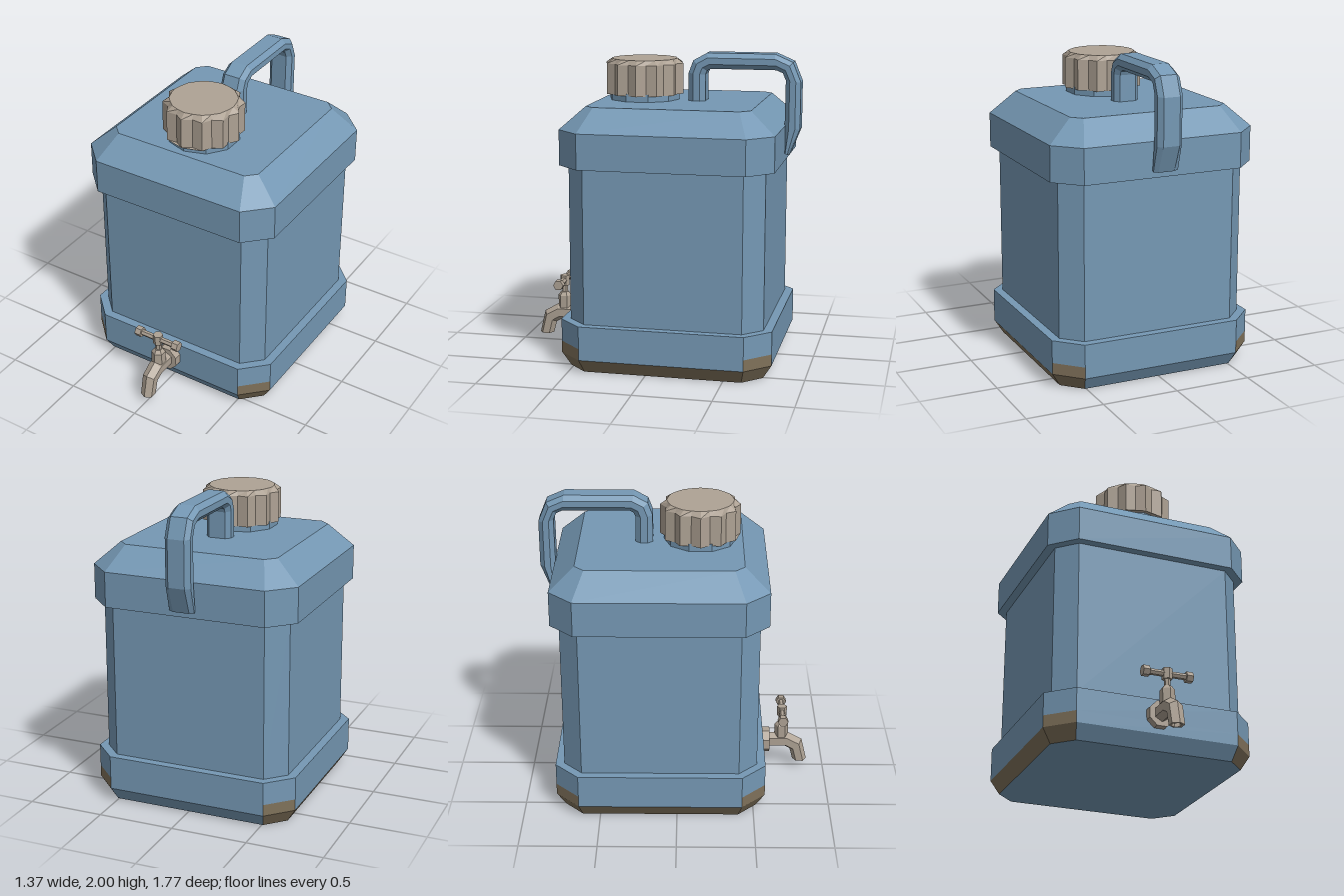
import * as THREE from 'three';

const mat = (name, color) => {
  const m = new THREE.MeshStandardMaterial({ color, flatShading: true });
  m.name = name;
  return m;
};

// Flat-faced skin over rings that run counter-clockwise around the direction of travel.
// pick(i, j) gives the material index of side face j between rings i and i + 1.
function skin(rings, pick = () => 0) {
  const lists = [[], []];
  const tri = (m, ...pts) => pts.forEach(p => lists[m].push(...p));
  const n = rings[0].length;
  for (let i = 0; i < rings.length - 1; i++) {
    for (let j = 0; j < n; j++) {
      const k = (j + 1) % n, [lo, hi] = [rings[i], rings[i + 1]];
      const m = pick(i, j);
      tri(m, lo[j], lo[k], hi[k]);
      tri(m, lo[j], hi[k], hi[j]);
    }
  }
  const first = rings[0], last = rings[rings.length - 1];
  for (let j = 1; j < n - 1; j++) {
    tri(0, first[0], first[j + 1], first[j]);
    tri(0, last[0], last[j], last[j + 1]);
  }
  const geo = new THREE.BufferGeometry();
  geo.setAttribute('position', new THREE.Float32BufferAttribute([...lists[0], ...lists[1]], 3));
  geo.addGroup(0, lists[0].length / 3, 0);
  if (lists[1].length) geo.addGroup(lists[0].length / 3, lists[1].length / 3, 1);
  geo.computeVertexNormals();
  return geo;
}

// Rectangle with cut corners at height y, centred on the body axis
const BODY_Z = -0.108;
function cutRect([y, w, c]) {
  const a = w - c;
  return [[a, w], [w, a], [w, -a], [a, -w], [-a, -w], [-w, -a], [-w, a], [-a, w]]
    .map(([x, z]) => [x, y, z + BODY_Z]);
}

// Cross-section spanning point A to point B (both z, y) with half width w
function bentRing(section, [az, ay, bz, by, w]) {
  return section.map(([v, u]) => [
    u * w,
    (ay + by) / 2 + v * (ay - by) / 2,
    (az + bz) / 2 + v * (az - bz) / 2,
  ]);
}

export function createModel() {
  const group = new THREE.Group();
  const blue = mat('blue plastic', 0x7598b4);
  const beige = mat('beige plastic', 0xaea294);
  const brown = mat('brown grime', 0x7f715a);

  const add = (name, geo, material, x = 0, y = 0, z = 0) => {
    const mesh = new THREE.Mesh(geo, material);
    mesh.name = name;
    mesh.position.set(x, y, z);
    group.add(mesh);
    return mesh;
  };

  // Container: base band, inset wall, shoulder band and sloped top
  const body = [
    [0, 0.628, 0.12], [0.09, 0.684, 0.155], [0.165, 0.684, 0.155], [0.312, 0.684, 0.155],
    [0.312, 0.628, 0.12], [1.318, 0.628, 0.12], [1.318, 0.684, 0.155],
    [1.545, 0.684, 0.155], [1.69, 0.524, 0.062],
  ].map(cutRect);
  // Grime on the lower side bevels and the foot of each corner
  const grime = (i, j) => ((i === 0 && j !== 3 && j !== 7) || (i === 1 && j % 2 === 0) ? 1 : 0);
  add('body', skin(body, grime), [blue, brown]);

  // Handle arching from the top to the back
  const octagon = [
    [1, -0.65], [1, 0.65], [0.4, 1], [-0.4, 1], [-1, 0.65], [-1, -0.65], [-0.4, -1], [0.4, -1],
  ];
  const handle = [
    [-0.16, 1.68, -0.27, 1.68, 0.083], [-0.16, 1.87, -0.27, 1.86, 0.083],
    [-0.19, 1.95, -0.28, 1.885, 0.083], [-0.28, 2, -0.305, 1.898, 0.083],
    [-0.72, 2, -0.73, 1.898, 0.083], [-0.835, 1.95, -0.77, 1.88, 0.083],
    [-0.886, 1.825, -0.79, 1.835, 0.083], [-0.886, 1.525, -0.787, 1.525, 0.083],
    [-0.82, 1.355, -0.787, 1.37, 0.083],
  ];
  add('handle', skin(handle.map(s => bentRing(octagon, s))), blue);

  // Neck and ribbed screw cap
  const CAP_Z = 0.143;
  add('neck', new THREE.CylinderGeometry(0.232, 0.232, 0.06, 10), blue, 0, 1.71, CAP_Z);
  const star = (y, tip, valley) => Array.from({ length: 24 }, (_, i) => {
    const a = i * Math.PI / 12, r = i % 2 ? valley : tip;
    return [Math.sin(a) * r, y, Math.cos(a) * r];
  });
  add('cap', skin([star(1.727, 0.257, 0.226), star(1.925, 0.257, 0.226), star(1.955, 0.215, 0.211)]),
    beige, 0, 0, CAP_Z);

  // Tap: wall flange, bent spout with hollow end
  const flange = add('tapFlange', new THREE.CylinderGeometry(0.086, 0.086, 0.06, 8), beige, 0, 0.203, 0.597);
  flange.rotation.set(Math.PI / 2, Math.PI / 8, 0, 'XYZ');
  const hexagon = Array.from({ length: 6 }, (_, i) => [Math.cos(i * Math.PI / 3), Math.sin(i * Math.PI / 3)]);
  const spout = [
    [0.61, 0.15, 0.61, 0.258, 0.052], [0.735, 0.15, 0.755, 0.258, 0.052],
    [0.77, 0.13, 0.85, 0.205, 0.05], [0.79, 0.053, 0.886, 0.053, 0.048],
    [0.805, 0.053, 0.871, 0.053, 0.033], [0.802, 0.085, 0.868, 0.085, 0.033],
  ];
  add('spout', skin(spout.map(s => bentRing(hexagon, s))), beige);

  // Tap valve, stem and cross handle
  const VALVE_Z = 0.708;
  add('valve', new THREE.CylinderGeometry(0.047, 0.047, 0.085, 6), beige, 0, 0.28, VALVE_Z);
  add('valveTop', new THREE.CylinderGeometry(0.027, 0.047, 0.025, 6), beige, 0, 0.335, VALVE_Z);
  add('stem', new THREE.CylinderGeometry(0.02, 0.02, 0.07, 6), beige, 0, 0.37, VALVE_Z);
  add('stemKnob', new THREE.CylinderGeometry(0.033, 0.033, 0.07, 6), beige, 0, 0.427, VALVE_Z);
  const bar = add('tapBar', new THREE.CylinderGeometry(0.02, 0.02, 0.26, 6), beige, 0, 0.428, VALVE_Z);
  bar.rotation.z = Math.PI / 2;
  for (const side of [-1, 1]) {
    const end = add('tapBarEnd', new THREE.CylinderGeometry(0.035, 0.035, 0.043, 6), beige,
      side * 0.142, 0.428, VALVE_Z);
    end.rotation.z = Math.PI / 2;
  }
  return group;
}
